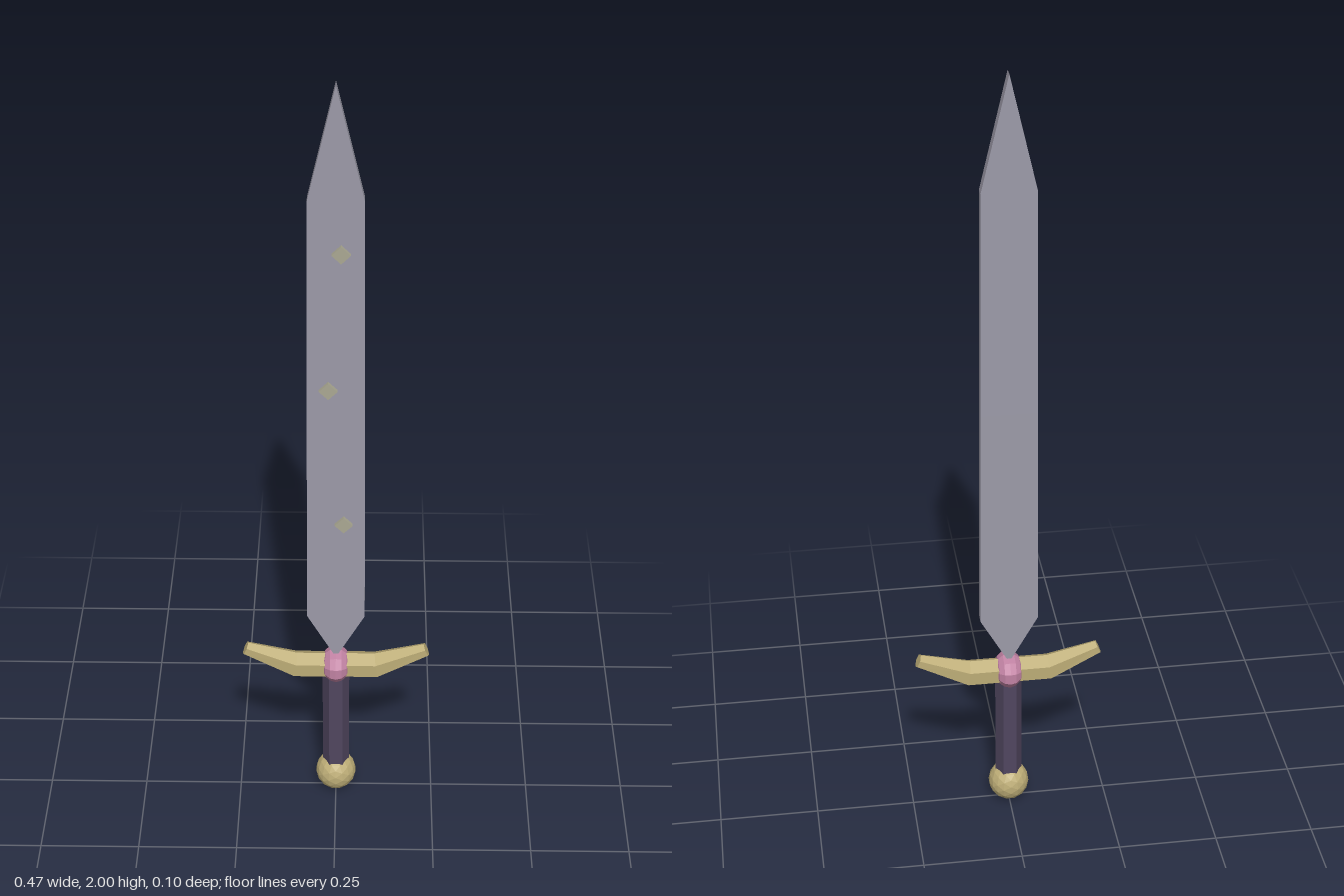
import * as THREE from 'three';

const material = (color, side = THREE.FrontSide) =>
  new THREE.MeshStandardMaterial({ color, side, flatShading: true });

const steel = material(0x9c9aa8);
const gold = material(0xbcac76);
const pink = material(0xc283a4);
const leather = material(0x50465f);
const studMetal = material(0xaaa892);

function add(group, name, geometry, mat, x = 0, y = 0, z = 0) {
  const mesh = new THREE.Mesh(geometry, mat);
  mesh.name = name;
  mesh.position.set(x, y, z);
  group.add(mesh);
  return mesh;
}

// Flat plate cut from an outline, extruded along z
function plate(points, depth) {
  const shape = new THREE.Shape(points.map(([x, y]) => new THREE.Vector2(x, y)));
  return new THREE.ExtrudeGeometry(shape, { depth, bevelEnabled: false });
}

// Closed hexagonal bar lofted through sections { x, y, r, tilt } along x
function hexBar(sections) {
  const sides = 6, positions = [], index = [];
  const ring = ({ x, y, r, tilt }) => {
    for (let i = 0; i < sides; i++) {
      const a = (i / sides) * Math.PI * 2;
      const up = Math.cos(a) * r;
      positions.push(x - Math.sin(tilt) * up, y + Math.cos(tilt) * up, Math.sin(a) * r);
    }
  };
  sections.forEach(ring);
  for (let s = 0; s < sections.length - 1; s++) {
    for (let i = 0; i < sides; i++) {
      const a = s * sides + i, b = s * sides + (i + 1) % sides;
      index.push(a, b, a + sides, b, b + sides, a + sides);
    }
  }
  // End caps
  const last = (sections.length - 1) * sides;
  for (let i = 1; i < sides - 1; i++) {
    index.push(0, i + 1, i, last, last + i, last + i + 1);
  }
  const geometry = new THREE.BufferGeometry();
  geometry.setAttribute('position', new THREE.Float32BufferAttribute(positions, 3));
  geometry.setIndex(index);
  geometry.computeVertexNormals();
  return geometry;
}

export function createModel() {
  const sword = new THREE.Group();
  sword.name = 'sword';

  // Blade: flat slab with a long tip and a tapered root
  const half = [[0.072, 0.565], [0.069, 1.15], [0.065, 1.72]];
  const outline = [
    [0, 0.435], ...half, [0, 2],
    ...half.map(([x, y]) => [-x, y]).reverse(),
  ];
  add(sword, 'blade', plate(outline, 0.027), steel, 0, 0, -0.014);

  // Diamond studs on the front face
  const d = 0.022;
  const studs = [[0.012, 1.59], [-0.018, 1.23], [0.019, 0.848]];
  for (const [x, y] of studs) {
    add(sword, 'stud', plate([[0, -d], [d, 0], [0, d], [-d, 0]], 0.012), studMetal, x, y, 0.011);
  }

  // Crossguard: straight centre with tapered, raised arms
  add(sword, 'crossguard', hexBar([
    { x: -0.229, y: 0.452, r: 0.018, tilt: -0.42 },
    { x: -0.103, y: 0.403, r: 0.035, tilt: -0.15 },
    { x: 0.103, y: 0.403, r: 0.035, tilt: 0.15 },
    { x: 0.229, y: 0.452, r: 0.018, tilt: 0.42 },
  ]), gold);

  // Gem set through the guard
  const gem = new THREE.SphereGeometry(1, 10, 8);
  gem.rotateZ(Math.PI / 2);
  gem.scale(0.038, 0.046, 0.052);
  add(sword, 'gem', gem, pink, 0, 0.405, 0);

  // Hexagonal grip, corners facing sideways
  const grip = new THREE.CylinderGeometry(0.034, 0.034, 0.31, 6);
  grip.rotateY(Math.PI / 6);
  add(sword, 'grip', grip, leather, 0, 0.235, 0);

  // Faceted pommel
  add(sword, 'pommel', new THREE.IcosahedronGeometry(0.052, 2), gold, 0, 0.052, 0);

  return sword;
}
